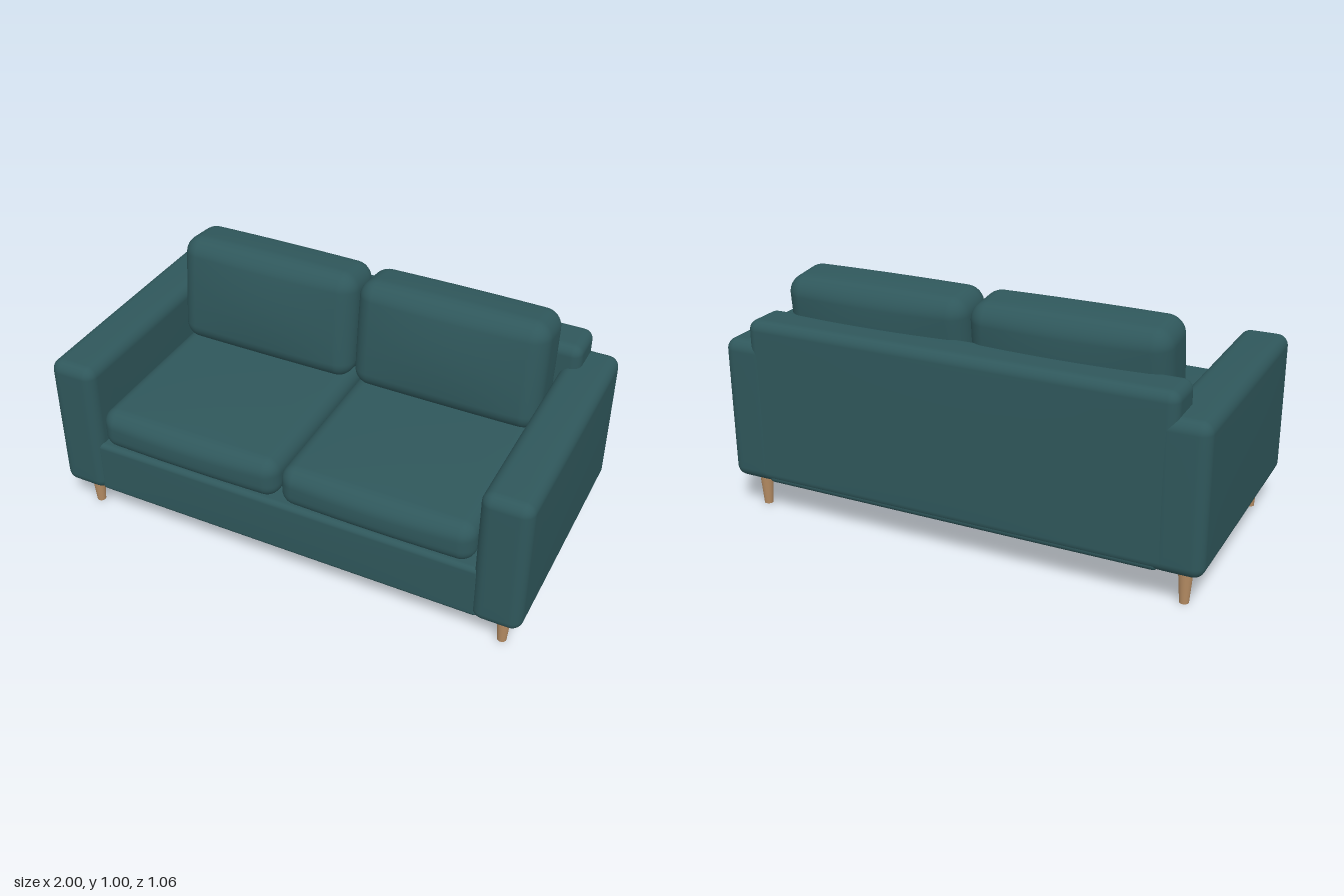
import * as THREE from 'three';
import { mergeVertices } from 'three/addons/utils/BufferGeometryUtils.js';

const N = 20, K = 5; // grid per face, and segments across each rounded edge

// Box with rounded edges whose faces swell outward by bulge = [x, y, z]
function pillow(w, h, d, r, bulge) {
  const half = [w / 2, h / 2, d / 2];
  const geo = new THREE.BoxGeometry(2, 2, 2, N, N, N);
  geo.deleteAttribute('uv');
  geo.deleteAttribute('normal');
  const pos = geo.attributes.position;

  // Crowd grid lines into the rounded edges
  const remap = (u, a) => {
    const i = Math.round(Math.abs(u) * N / 2), flat = N / 2 - K, inner = a - r;
    const v = i <= flat ? inner * i / flat : inner + r * Math.tan((i - flat) / K * Math.PI / 4);
    return Math.sign(u) * v;
  };
  const p = new THREE.Vector3(), core = new THREE.Vector3();
  for (let i = 0; i < pos.count; i++) {
    p.fromBufferAttribute(pos, i);
    p.set(remap(p.x, half[0]), remap(p.y, half[1]), remap(p.z, half[2]));
    const inner = new THREE.Vector3(half[0] - r, half[1] - r, half[2] - r);
    core.copy(p).clamp(inner.clone().negate(), inner);
    p.sub(core).setLength(r).add(core);
    const [fx, fy, fz] = p.toArray().map((v, k) => Math.max(0, 1 - (v / half[k]) ** 2));
    p.set(
      p.x * (1 + bulge[0] / half[0] * fy * fz),
      p.y * (1 + bulge[1] / half[1] * fx * fz),
      p.z * (1 + bulge[2] / half[2] * fx * fy)
    );
    pos.setXYZ(i, p.x, p.y, p.z);
  }
  const merged = mergeVertices(geo, 1e-5);
  merged.computeVertexNormals();
  return merged;
}

export function createModel() {
  const sofa = new THREE.Group();
  sofa.name = 'sofa';
  const fabric = new THREE.MeshStandardMaterial({ color: 0x2f575b });
  fabric.name = 'teal fabric';
  const wood = new THREE.MeshStandardMaterial({ color: 0xb58c63 });
  wood.name = 'light wood';

  const add = (name, geo, mat, x, y, z) => {
    const mesh = new THREE.Mesh(geo, mat);
    mesh.name = name;
    mesh.position.set(x, y, z);
    sofa.add(mesh);
    return mesh;
  };

  // Frame: seat base and backrest
  add('seatBase', pillow(1.66, 0.235, 1.03, 0.02, [0, 0.004, 0.003]), fabric, 0, 0.264, -0.005);
  add('backrest', pillow(1.76, 0.685, 0.19, 0.04, [0, 0.002, 0.003]), fabric, 0, 0.491, -0.43);

  const armGeo = pillow(0.196, 0.595, 1.05, 0.045, [0.003, 0.005, 0.002]);
  const seatGeo = pillow(0.785, 0.172, 0.86, 0.06, [0.003, 0.01, 0.015]);
  const backGeo = pillow(0.785, 0.46, 0.24, 0.07, [0.003, 0.006, 0.026]);
  const legGeo = new THREE.CylinderGeometry(0.03, 0.018, 0.16, 24);

  for (const [side, s] of [['left', 1], ['right', -1]]) {
    add(side + 'Arm', armGeo, fabric, s * 0.9, 0.4435, 0);
    // Loose cushions; the back ones lean backward
    add(side + 'SeatCushion', seatGeo, fabric, s * 0.399, 0.468, 0.085);
    add(side + 'BackCushion', backGeo, fabric, s * 0.399, 0.764, -0.248).rotation.x = -0.11;
    // Tapered legs
    for (const [end, z] of [['Front', 0.427], ['Back', -0.427]])
      add(side + end + 'Leg', legGeo, wood, s * 0.91, 0.08, z);
  }
  return sofa;
}
